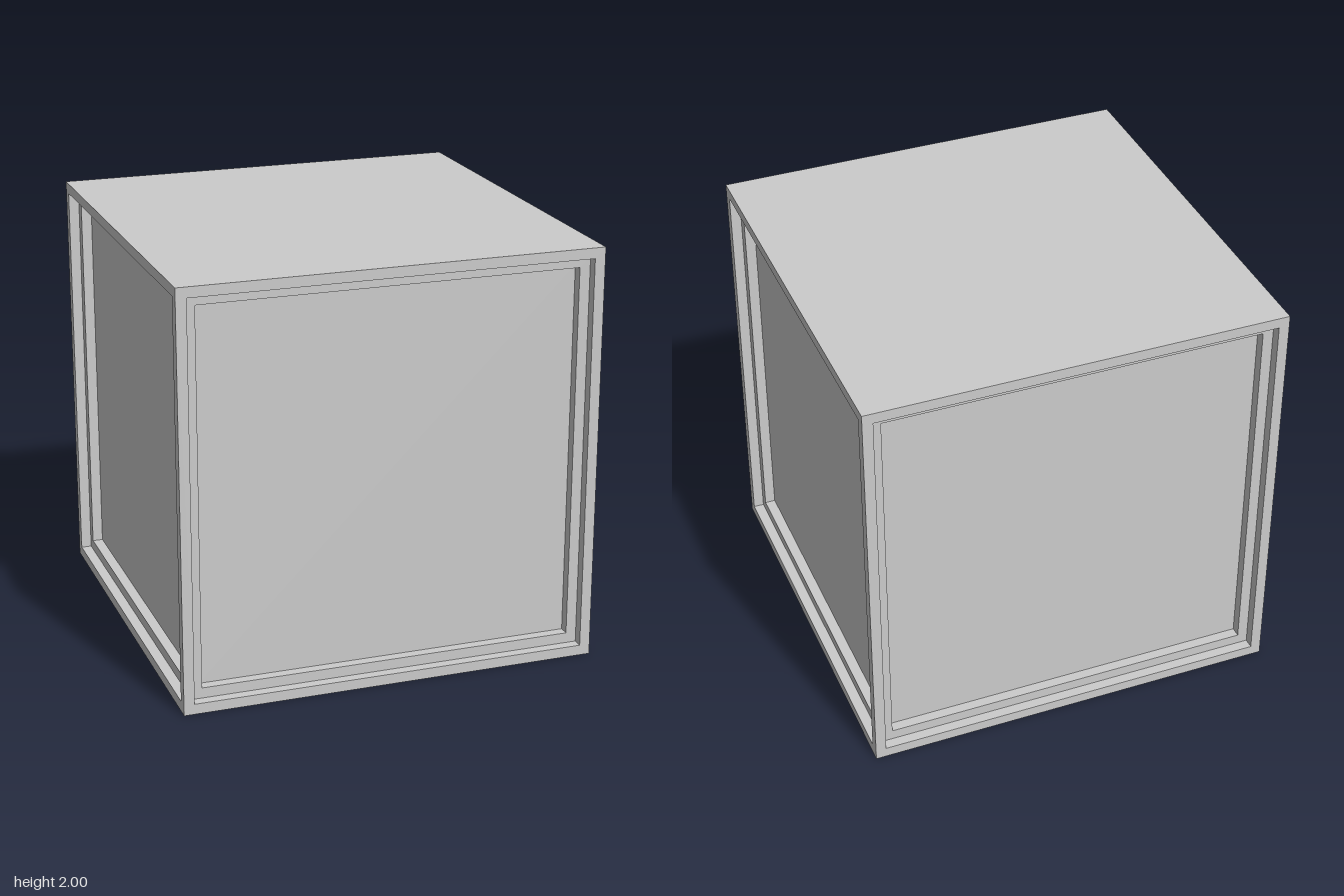
import * as THREE from 'three';

const HALF = 1;
const STEP = 0.05;

// Square face looking along +z, built from rings of [inset, depth], closed by a cap
function steppedFace(profile) {
  const corners = [[-1, -1], [1, -1], [1, 1], [-1, 1]];
  const point = ([inset, depth], i) => {
    const [sx, sy] = corners[i % 4];
    return [sx * (HALF - inset), sy * (HALF - inset), HALF - depth];
  };
  const positions = [];
  const quad = (a, b, c, d) => positions.push(...a, ...b, ...c, ...a, ...c, ...d);
  for (let r = 0; r < profile.length - 1; r++) {
    for (let i = 0; i < 4; i++) {
      quad(point(profile[r], i), point(profile[r], i + 1),
        point(profile[r + 1], i + 1), point(profile[r + 1], i));
    }
  }
  const last = profile[profile.length - 1];
  quad(point(last, 0), point(last, 1), point(last, 2), point(last, 3));
  const geometry = new THREE.BufferGeometry();
  geometry.setAttribute('position', new THREE.Float32BufferAttribute(positions, 3));
  geometry.computeVertexNormals();
  return geometry;
}

// Staircase profile: one inset and one drop per step
function stairs(count) {
  const profile = [[0, 0]];
  for (let s = 1; s <= count; s++) {
    profile.push([s * STEP, (s - 1) * STEP], [s * STEP, s * STEP]);
  }
  return profile;
}

export function createModel() {
  const group = new THREE.Group();
  const material = new THREE.MeshStandardMaterial({ color: 0xcccccc, flatShading: true });

  const add = (name, geometry, rx, ry) => {
    const mesh = new THREE.Mesh(geometry, material);
    mesh.name = name;
    mesh.rotation.set(rx, ry, 0);
    mesh.position.y = HALF;
    group.add(mesh);
  };

  // Four side panels, each recessed in two steps
  const side = steppedFace(stairs(2));
  ['frontPanel', 'leftPanel', 'backPanel', 'rightPanel'].forEach((name, i) => {
    add(name, side, 0, i * Math.PI / 2);
  });

  // Flat lid
  add('topPanel', steppedFace([[0, 0]]), -Math.PI / 2, 0);

  // Underside: five steps leading into a deep square well
  const well = stairs(5);
  well[well.length - 1][1] = 0.45;
  add('bottomWell', steppedFace(well), Math.PI / 2, 0);

  return group;
}
